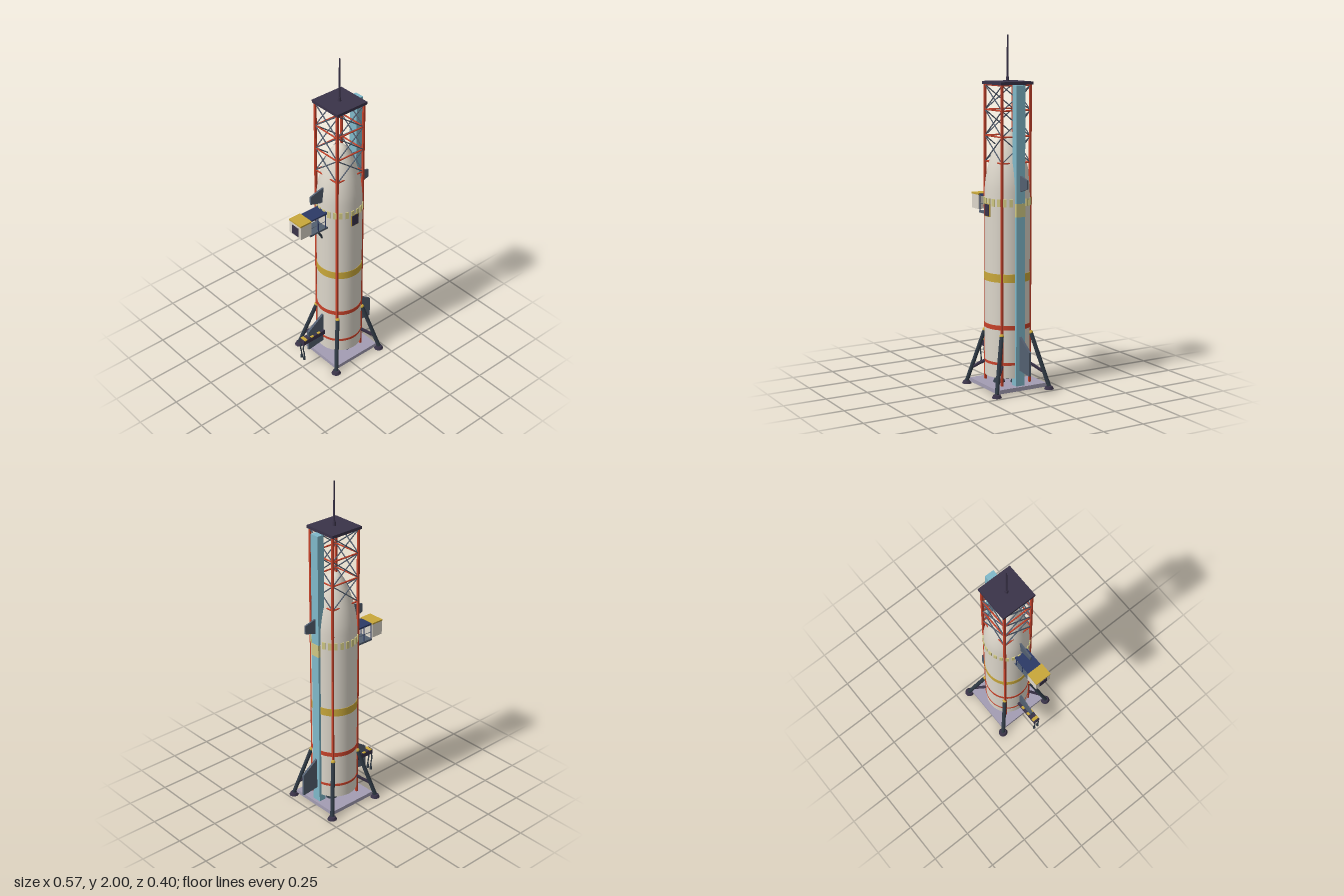
import * as THREE from 'three';

const mat = (name, color) => {
  const m = new THREE.MeshStandardMaterial({ color });
  m.name = name;
  return m;
};

export function createModel() {
  const M = {
    white: mat('hullWhite', 0xdcd6ca), gold: mat('gold', 0xc9a83a), red: mat('towerRed', 0xc8432b),
    cyan: mat('paleCyan', 0x80b9ca), slate: mat('slate', 0x535f70), dark: mat('darkSlate', 0x303b46),
    purple: mat('darkPurple', 0x3a3349), lavender: mat('lavender', 0xa39db3),
    navy: mat('navy', 0x2c3a66), pale: mat('paleYellow', 0xd0c883),
  };
  const CX = 0.04; // rocket and tower axis
  const model = new THREE.Group();
  model.name = 'rocketOnLaunchTower';
  const group = (name, x = 0, parent = model) => {
    const g = new THREE.Group();
    g.name = name;
    g.position.x = x;
    parent.add(g);
    return g;
  };
  const add = (parent, name, geo, material, x = 0, y = 0, z = 0) => {
    const m = new THREE.Mesh(geo, material);
    m.name = name;
    m.position.set(x, y, z);
    parent.add(m);
    return m;
  };
  // box given by its lower and upper corners
  const box = (parent, name, material, [x0, y0, z0], [x1, y1, z1]) =>
    add(parent, name, new THREE.BoxGeometry(x1 - x0, y1 - y0, z1 - z0), material,
      (x0 + x1) / 2, (y0 + y1) / 2, (z0 + z1) / 2);
  // straight round bar between two points
  const bar = (parent, name, material, a, b, r, sides = 8) => {
    const p = new THREE.Vector3(...a), q = new THREE.Vector3(...b), d = q.clone().sub(p);
    const m = add(parent, name, new THREE.CylinderGeometry(r, r, d.length(), sides), material);
    m.position.copy(p).add(q).multiplyScalar(0.5);
    m.quaternion.setFromUnitVectors(new THREE.Vector3(0, 1, 0), d.normalize());
    return m;
  };

  // ---- Rocket hull
  const rocket = group('rocket', CX);
  const R = 0.131;
  add(rocket, 'hull', new THREE.CylinderGeometry(R, R, 1.02, 48), M.white, 0, 0.59);
  const ogive = new THREE.SplineCurve([[R, 1.1], [0.127, 1.18], [0.113, 1.265], [0.09, 1.345],
    [0.063, 1.41], [0.037, 1.452], [0.016, 1.467], [0, 1.47]].map(p => new THREE.Vector2(...p)));
  const nosePoints = ogive.getPoints(24);
  nosePoints[24].x = 0;
  add(rocket, 'noseCone', new THREE.LatheGeometry(nosePoints, 48), M.white);
  for (const [name, m, y0, y1] of [['goldBand', M.gold, 0.63, 0.677],
    ['upperRedBand', M.red, 0.358, 0.384], ['lowerRedBand', M.red, 0.155, 0.17]])
    add(rocket, name, new THREE.CylinderGeometry(R + 0.002, R + 0.002, y1 - y0, 48), m, 0, (y0 + y1) / 2);

  // ring of pale tiles under the nose
  for (let i = 0; i < 24; i++) {
    const a = (i + 0.5) / 24 * Math.PI * 2;
    const tile = add(rocket, 'ringTile', new THREE.BoxGeometry(0.019, 0.042, 0.008), M.pale,
      Math.sin(a) * (R + 0.001), 1.078, Math.cos(a) * (R + 0.001));
    tile.rotation.y = a;
  }
  // crew hatch on the front
  box(rocket, 'hatchFrame', M.gold, [-0.027, 0.995, 0.126], [0.027, 1.07, 0.134]);
  box(rocket, 'hatch', M.purple, [-0.023, 0.999, 0.13], [0.023, 1.066, 0.137]);

  // fins on both sides
  const finPair = (name, pts, thick) => {
    for (const s of [1, -1]) {
      const shape = new THREE.Shape(pts.map(([x, y]) => new THREE.Vector2(s * x, y)));
      add(rocket, name, new THREE.ExtrudeGeometry(shape, { depth: thick, bevelEnabled: false }),
        M.slate, 0, 0, -thick / 2);
    }
  };
  finPair('tailFin', [[0.12, 0.335], [0.245, 0.25], [0.245, 0.115], [0.12, 0.128]], 0.014);
  finPair('canard', [[0.12, 1.235], [0.145, 1.23], [0.213, 1.212], [0.213, 1.163], [0.145, 1.142], [0.12, 1.142]], 0.01);

  // three engine bells
  const bell = [[0.016, 0.09], [0.02, 0.07], [0.033, 0.04], [0.041, 0.009], [0.037, 0.009], [0.03, 0.04], [0.014, 0.085]]
    .map(p => new THREE.Vector2(...p)).reverse();
  const bellMat = M.dark;
  for (let i = 0; i < 3; i++) {
    const a = Math.PI / 2 + i * Math.PI * 2 / 3;
    add(rocket, 'engineBell', new THREE.LatheGeometry(bell, 24), bellMat, Math.cos(a) * 0.057, 0, Math.sin(a) * 0.057);
  }

  // ---- Landing legs
  for (const sx of [1, -1]) for (const sz of [1, -1]) {
    const leg = group('landingLeg', 0, rocket);
    const P = (r, y) => [sx * r, y, sz * r];
    bar(leg, 'legStrut', M.dark, P(0.096, 0.325), P(0.172, 0.018), 0.012, 10);
    bar(leg, 'legBrace', M.purple, P(0.088, 0.15), P(0.148, 0.1), 0.009);
    add(leg, 'legJoint', new THREE.SphereGeometry(0.013, 12, 8), M.gold, ...P(0.096, 0.325));
    add(leg, 'footPad', new THREE.CylinderGeometry(0.02, 0.028, 0.016, 20), M.purple, ...P(0.172, 0.008));
  }

  // ---- Base plate
  box(model, 'basePlate', M.lavender, [CX - 0.16, 0.012, -0.16], [CX + 0.16, 0.035, 0.16]);

  // ---- Lattice tower
  const tower = group('tower', CX - 0.002);
  const TX = 0.094, TZ = 0.091, levels = [1.297, 1.442, 1.587, 1.725];
  for (const sx of [1, -1]) for (const sz of [1, -1])
    box(tower, 'towerPost', M.red, [sx * TX - 0.006, 0.01, sz * TZ - 0.006], [sx * TX + 0.006, 1.73, sz * TZ + 0.006]);
  const corners = [[TX, TZ], [-TX, TZ], [-TX, -TZ], [TX, -TZ]];
  corners.forEach(([ax, az], i) => {
    const [bx, bz] = corners[(i + 1) % 4];
    levels.forEach((y, k) => {
      bar(tower, 'crossbar', M.red, [ax, y, az], [bx, y, bz], 0.0045, 6);
      if (k === levels.length - 1) return;
      bar(tower, 'diagonalBrace', M.slate, [ax, y, az], [bx, levels[k + 1], bz], 0.0035, 6);
      bar(tower, 'diagonalBrace', M.slate, [bx, y, bz], [ax, levels[k + 1], az], 0.0035, 6);
    });
  });
  box(tower, 'topPlatform', M.purple, [-0.105, 1.728, -0.105], [0.105, 1.745, 0.105]);
  add(tower, 'mastFoot', new THREE.CylinderGeometry(0.008, 0.01, 0.025, 12), M.purple, 0, 1.757);
  add(tower, 'mast', new THREE.CylinderGeometry(0.004, 0.006, 0.25, 10), M.purple, 0, 1.875);

  // ---- Service shaft with its door
  box(model, 'serviceShaft', M.cyan, [0.138, 0.035, -0.028], [0.182, 1.728, 0.028]);
  box(model, 'shaftDoor', M.pale, [0.136, 1.0, -0.0285], [0.184, 1.075, 0.0285]);

  // ---- Crew access arm
  const arm = group('accessArm');
  box(arm, 'bridgeRoof', M.navy, [-0.21, 1.08, -0.044], [-0.085, 1.09, 0.044]);
  box(arm, 'bridgeFloor', M.slate, [-0.21, 0.98, -0.044], [-0.085, 0.992, 0.044]);
  for (const z of [-0.041, 0.041]) {
    for (const x of [-0.206, -0.152, -0.098]) bar(arm, 'bridgePost', M.navy, [x, 0.985, z], [x, 1.085, z], 0.003, 6);
    bar(arm, 'handrail', M.slate, [-0.21, 1.035, z], [-0.095, 1.035, z], 0.002, 6);
  }
  box(arm, 'cabin', M.white, [-0.283, 1.0, -0.05], [-0.208, 1.083, 0.05]);
  box(arm, 'cabinRoof', M.gold, [-0.286, 1.083, -0.051], [-0.207, 1.092, 0.051]);
  box(arm, 'cabinDoor', M.purple, [-0.285, 1.008, -0.026], [-0.281, 1.065, 0.026]);
  bar(arm, 'armSupport', M.dark, [-0.14, 0.982, 0], [-0.088, 0.895, 0], 0.007);

  // ---- Fuel arm with hanging hoses
  const fuel = group('fuelArm');
  box(fuel, 'fuelBoom', M.purple, [-0.253, 0.183, -0.02], [-0.085, 0.213, 0.02]);
  for (const x of [-0.235, -0.185, -0.135]) box(fuel, 'boomClamp', M.gold, [x - 0.01, 0.21, -0.021], [x + 0.01, 0.216, 0.021]);
  for (const z of [-0.013, 0.013]) {
    const path = new THREE.CatmullRomCurve3([[-0.248, 0.185], [-0.253, 0.15], [-0.246, 0.11], [-0.246, 0.08]]
      .map(([x, y]) => new THREE.Vector3(x, y, z)));
    add(fuel, 'hose', new THREE.TubeGeometry(path, 12, 0.004, 8), M.dark);
    add(fuel, 'hoseNozzle', new THREE.CylinderGeometry(0.008, 0.008, 0.018, 10), M.dark, -0.246, 0.077, z);
  }
  return model;
}
